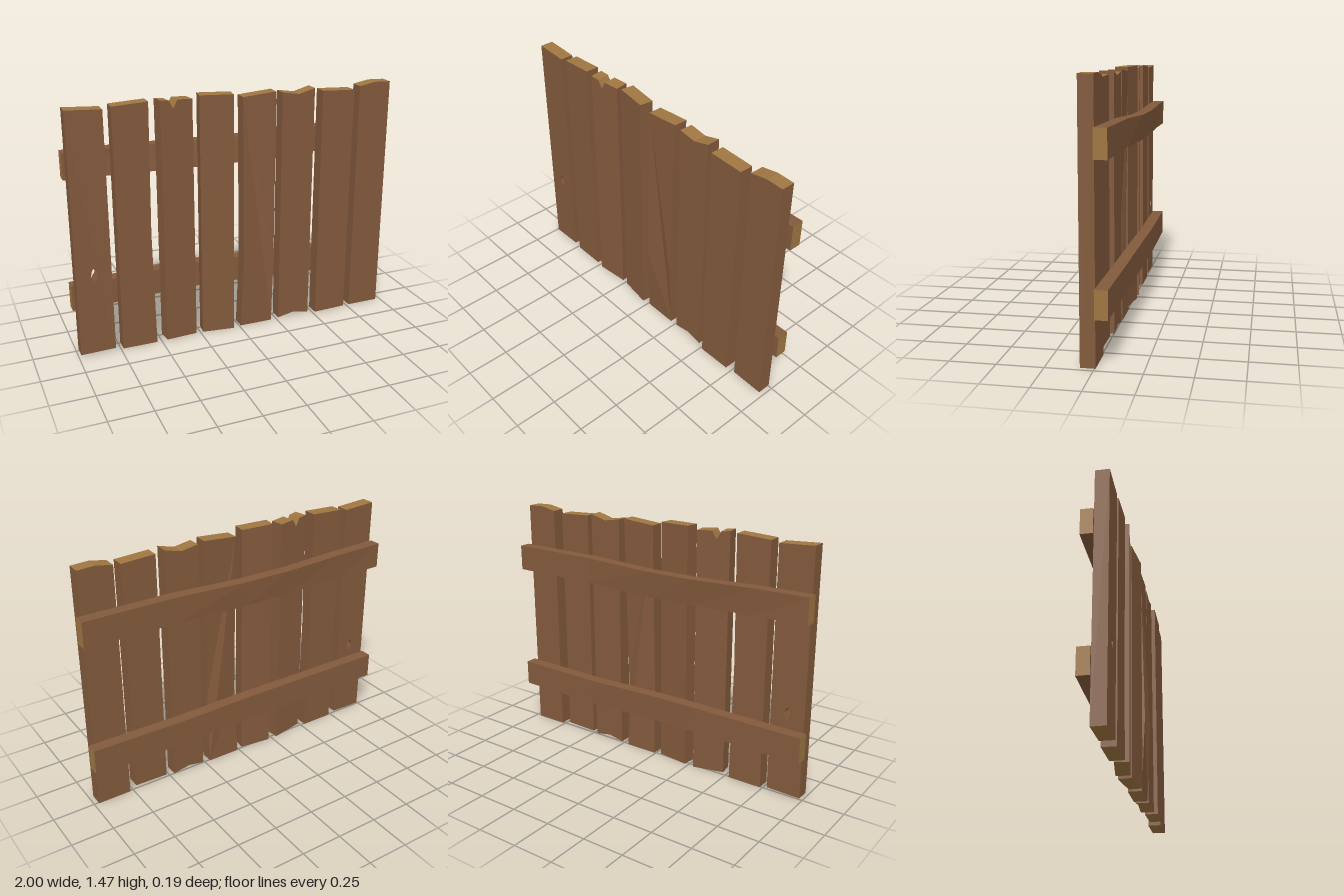
import * as THREE from 'three';

const wood = new THREE.MeshStandardMaterial({ color: 0x835a3c });
wood.name = 'brown wood';
const endGrain = new THREE.MeshStandardMaterial({ color: 0x9f7641 });
endGrain.name = 'light end grain';

const DEPTH = 0.08;
const BACK = -0.006;

// Each plank: outline going round from bottom left, counter-clockwise
const planks = [
  { pts: [[-0.985, 0.01], [-0.78, 0.015], [-0.78, 1.44], [-0.985, 1.452]],
    hole: [[-0.9, 0.5], [-0.885, 0.54], [-0.855, 0.5], [-0.88, 0.45]] },
  { pts: [[-0.735, 0], [-0.528, 0], [-0.54, 0.7], [-0.53, 1.46], [-0.735, 1.45]] },
  { pts: [[-0.48, 0.01], [-0.275, 0], [-0.275, 1.45], [-0.37, 1.456], [-0.398, 1.41],
    [-0.425, 1.456], [-0.48, 1.462]], turn: 0.145 },
  { pts: [[-0.235, 0], [-0.03, 0], [-0.03, 1.46], [-0.235, 1.465]], turn: -0.13 },
  { pts: [[0.01, 0], [0.215, 0], [0.215, 0.45], [0.225, 1.452], [0.02, 1.436], [0.02, 0.45]],
    bulge: 0.02 },
  { pts: [[0.265, 0.005], [0.365, 0.025], [0.47, 0.005], [0.47, 1.452], [0.37, 1.425], [0.265, 1.442]] },
  { pts: [[0.515, 0.004], [0.72, 0.01], [0.72, 1.425], [0.515, 1.435]], z: 0.018 },
  { pts: [[0.77, 0], [0.972, 0], [0.972, 1.452], [0.87, 1.456], [0.77, 1.438]] },
];

// Gives the sawn top and bottom faces the light material
function paintEnds(geo) {
  const p = geo.attributes.position, n = geo.attributes.normal;
  geo.clearGroups();
  let start = 0, current = -1;
  for (let i = 0; i <= p.count; i += 3) {
    const isEnd = i < p.count && Math.abs(n.getY(i)) > 0.3 &&
      (p.getY(i) > 1.3 || p.getY(i) < 0.1);
    const material = i === p.count ? -1 : Number(isEnd);
    if (material !== current) {
      if (i > start) geo.addGroup(start, i - start, current);
      start = i;
      current = material;
    }
  }
}

function makePlank({ pts, hole, turn = 0, bulge = 0, z = 0 }) {
  const xs = pts.map(q => q[0]);
  const cx = (Math.min(...xs) + Math.max(...xs)) / 2;
  const narrow = turn ? 0.955 : 1; // a turned plank's thickness takes up part of its span
  const local = list => list.map(([x, y]) => new THREE.Vector2((x - cx) * narrow, y));
  const shape = new THREE.Shape(local(pts));
  if (hole) shape.holes.push(new THREE.Path(local(hole)));
  const geo = new THREE.ExtrudeGeometry(shape, { depth: DEPTH, bevelEnabled: false });
  geo.translate(0, 0, -DEPTH / 2);
  // Push the warped plank forward at its bend
  const p = geo.attributes.position;
  for (let i = 0; i < p.count; i++) {
    if (Math.abs(p.getY(i) - 0.45) < 0.01) p.setZ(i, p.getZ(i) + bulge);
  }
  geo.computeVertexNormals();
  paintEnds(geo);
  const mesh = new THREE.Mesh(geo, [wood, endGrain]);
  mesh.position.set(cx, 0, BACK + DEPTH / 2 + z);
  mesh.rotation.y = turn;
  return mesh;
}

// Stations along a rail: x, centre height, backward shift of top edge and of bottom edge
const rails = {
  upperRail: [[-1, 1.125, 0, 0], [-0.68, 1.123, 0.009, 0], [-0.3, 1.112, 0.02, 0.002],
    [0, 1.109, 0.013, 0], [0.45, 1.123, 0, 0], [1, 1.125, 0, 0]],
  lowerRail: [[-1, 0.337, 0, 0], [-0.68, 0.343, 0.009, 0.009], [-0.3, 0.353, 0.02, 0.02],
    [0, 0.348, 0.013, 0.013], [0.45, 0.33, 0, 0], [1, 0.337, 0, 0]],
};

function makeRail(stations) {
  const segs = stations.length - 1;
  const box = new THREE.BoxGeometry(2, 0.153, 0.07, segs, 1, 1);
  const p = box.attributes.position;
  for (let i = 0; i < p.count; i++) {
    const [x, y, top, bottom] = stations[Math.round((p.getX(i) + 1) / 2 * segs)];
    const shift = p.getY(i) > 0 ? top : bottom;
    p.setXYZ(i, x, y + p.getY(i), p.getZ(i) + BACK - 0.035 - shift);
  }
  const geo = box.toNonIndexed();
  geo.computeVertexNormals();
  return new THREE.Mesh(geo, [endGrain, endGrain, wood, wood, wood, wood]);
}

export function createModel() {
  const fence = new THREE.Group();
  fence.name = 'fence';
  planks.forEach((spec, i) => {
    const plank = makePlank(spec);
    plank.name = `plank${i + 1}`;
    fence.add(plank);
  });
  for (const [name, stations] of Object.entries(rails)) {
    const rail = makeRail(stations);
    rail.name = name;
    fence.add(rail);
  }
  return fence;
}
